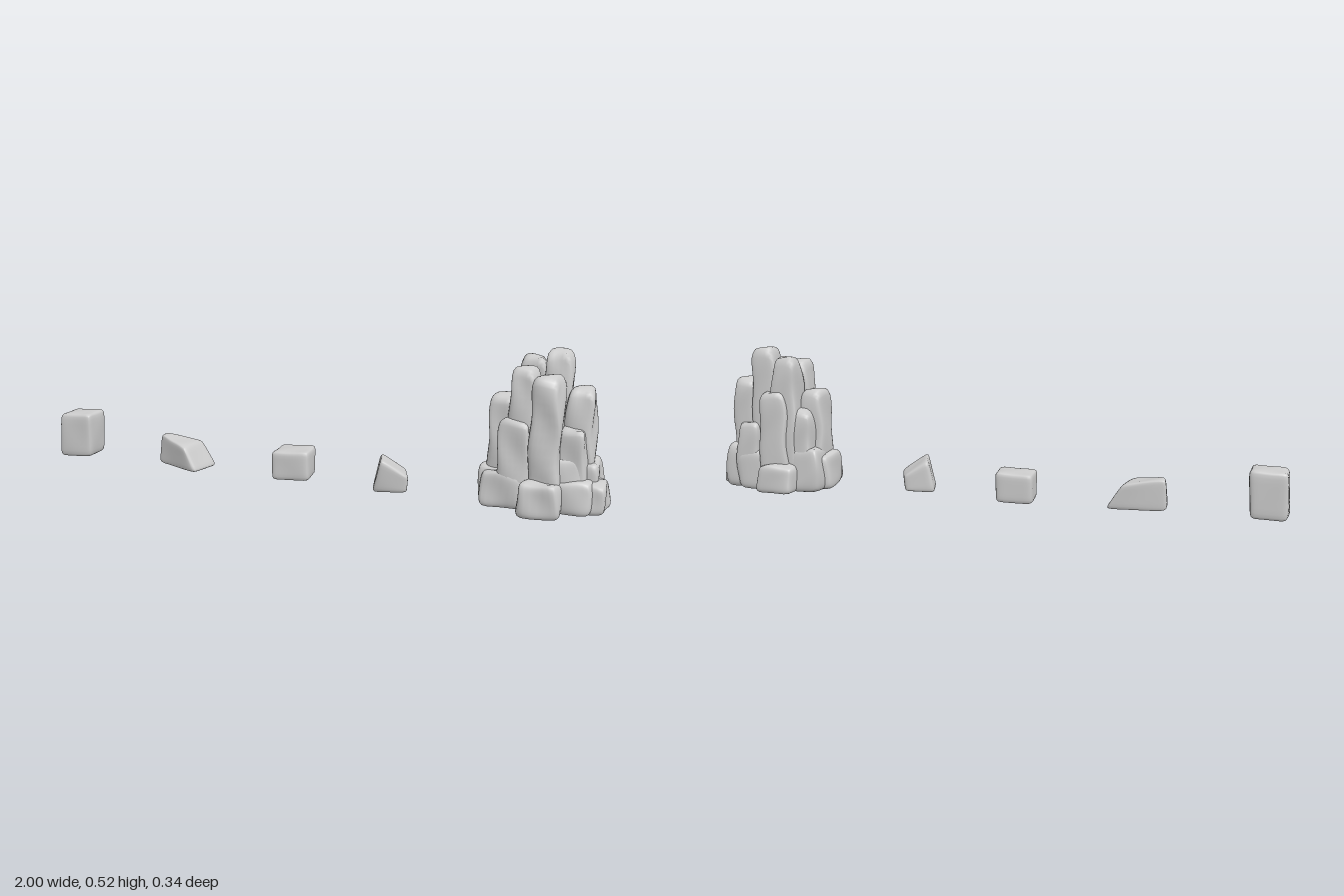
import * as THREE from 'three';
import { mergeVertices } from 'three/addons/utils/BufferGeometryUtils.js';

const material = new THREE.MeshStandardMaterial({ color: 0xcccccc });

// A soft-edged block stretched between eight corners.
// Corner order: back left, back right, front right, front left; bottom ring, then top ring.
function softBlock(name, corners, power, wobble, segments) {
  let geometry = new THREE.BoxGeometry(2, 2, 2, ...segments);
  geometry.deleteAttribute('normal');
  geometry.deleteAttribute('uv');
  geometry = mergeVertices(geometry);
  const c = corners.map((p) => new THREE.Vector3(...p));
  const pos = geometry.attributes.position;
  const v = new THREE.Vector3();
  const out = new THREE.Vector3();
  for (let i = 0; i < pos.count; i++) {
    v.fromBufferAttribute(pos, i);
    // crowd vertices towards the edges, then round the cube
    v.set(...v.toArray().map((t) => Math.sin(t * 1.25) / Math.sin(1.25)));
    const sum = v.toArray().reduce((s, t) => s + Math.abs(t) ** power, 0);
    v.multiplyScalar(sum ** (-1 / power));
    const [a, b, d] = v.toArray().map((t) => (t + 1) / 2);
    const ring = [(1 - a) * (1 - d), a * (1 - d), a * d, (1 - a) * d];
    out.set(0, 0, 0);
    ring.forEach((w, k) => {
      out.addScaledVector(c[k], w * (1 - b));
      out.addScaledVector(c[k + 4], w * b);
    });
    // weathered surface
    const { x, y, z } = out;
    out.x += wobble * Math.sin(y * 31 + z * 37 + x * 9);
    out.z += wobble * Math.sin(y * 27 + x * 41 + 1.3);
    out.y += wobble * b * Math.sin(x * 52 + z * 47);
    pos.setXYZ(i, out.x, out.y, out.z);
  }
  geometry.computeVertexNormals();
  const mesh = new THREE.Mesh(geometry, material);
  mesh.name = name;
  return mesh;
}

// An upright rock given by its extents, slightly narrower at the top
function pillar(name, [x0, x1, z0, z1, y0, y1], taper) {
  const ring = (y, t) => {
    const dx = (x1 - x0) * t, dz = (z1 - z0) * t;
    return [
      [x0 + dx, y, z0 + dz], [x1 - dx, y, z0 + dz],
      [x1 - dx, y, z1 - dz], [x0 + dx, y, z1 - dz],
    ];
  };
  return softBlock(name, [...ring(y0, 0), ...ring(y1, taper)], 6, 0.004, [8, 16, 8]);
}

// Loose stones, left to right
const stones = {
  tallStone: [
    [-0.995, 0.015, -0.06], [-0.875, 0.02, -0.068], [-0.87, 0.02, 0.05], [-1.0, 0.015, 0.056],
    [-0.995, 0.178, -0.06], [-0.868, 0.182, -0.065], [-0.866, 0.182, 0.05], [-0.99, 0.175, 0.056],
  ],
  wedgeStone: [
    [-0.605, 0.015, -0.03], [-0.395, 0.012, -0.048], [-0.42, 0.012, 0.09], [-0.605, 0.02, 0.015],
    [-0.6, 0.125, -0.03], [-0.455, 0.105, -0.048], [-0.47, 0.1, 0.08], [-0.59, 0.125, 0.015],
  ],
  blockStone: [
    [-0.152, 0.012, -0.06], [-0.025, 0.015, -0.07], [-0.008, 0.015, 0.05], [-0.142, 0.012, 0.064],
    [-0.152, 0.115, -0.06], [-0.025, 0.12, -0.07], [-0.008, 0.118, 0.05], [-0.142, 0.112, 0.064],
  ],
  tiltedStone: [
    [0.21, 0.015, -0.005], [0.312, 0.02, -0.03], [0.355, 0.02, 0.075], [0.24, 0.018, 0.105],
    [0.235, 0.132, -0.01], [0.32, 0.075, -0.03], [0.358, 0.075, 0.078], [0.275, 0.137, 0.115],
  ],
};

// Cliff rocks: x0, x1, z0, z1, y0, y1
const columns = [
  [0.685, 0.785, -0.115, -0.01, 0.02, 0.485], // summit back left
  [0.77, 0.87, -0.09, 0.005, 0.02, 0.512], // summit back right
  [0.68, 0.775, -0.02, 0.085, 0.02, 0.462], // summit front left
  [0.755, 0.86, -0.01, 0.122, 0.02, 0.445], // summit front right
  [0.715, 0.825, -0.133, -0.04, 0.02, 0.365], // rear
  [0.85, 0.948, -0.082, 0.038, 0.02, 0.4], // right
  [0.84, 0.935, -0.01, 0.088, 0.02, 0.28], // right front
  [0.83, 0.92, -0.118, -0.02, 0.02, 0.25], // right rear
  [0.61, 0.705, -0.058, 0.06, 0.02, 0.365], // left
  [0.65, 0.765, 0.01, 0.105, 0.02, 0.3], // left front
  [0.635, 0.74, -0.11, -0.01, 0.02, 0.3], // left rear
];
const baseRocks = [
  [0.87, 1.0, -0.06, 0.09, 0.01, 0.112], // right
  [0.86, 0.97, -0.108, 0.06, 0.01, 0.17], // right ledge
  [0.73, 0.87, 0.02, 0.167, 0, 0.117], // front
  [0.685, 0.825, -0.167, -0.04, 0.01, 0.112], // rear
  [0.585, 0.71, -0.065, 0.075, 0.01, 0.14], // left
  [0.6, 0.75, -0.01, 0.11, 0.01, 0.13], // left front
  [0.605, 0.74, -0.115, 0.0, 0.01, 0.17], // left rear
  [0.83, 0.96, -0.01, 0.11, 0.01, 0.12], // right front
  [0.79, 0.92, -0.122, 0.0, 0.01, 0.15], // right rear
  [0.65, 0.94, -0.1, 0.1, 0.008, 0.2], // core
];

export function createModel() {
  const model = new THREE.Group();
  model.name = 'rockSet';
  for (const [name, corners] of Object.entries(stones)) {
    model.add(softBlock(name, corners, 9, 0.001, [10, 10, 10]));
  }
  const cliff = new THREE.Group();
  cliff.name = 'cliff';
  columns.forEach((c, i) => cliff.add(pillar(`cliffColumn${i + 1}`, c, 0.06)));
  baseRocks.forEach((c, i) => cliff.add(pillar(`baseRock${i + 1}`, c, 0.04)));
  model.add(cliff);
  return model;
}
